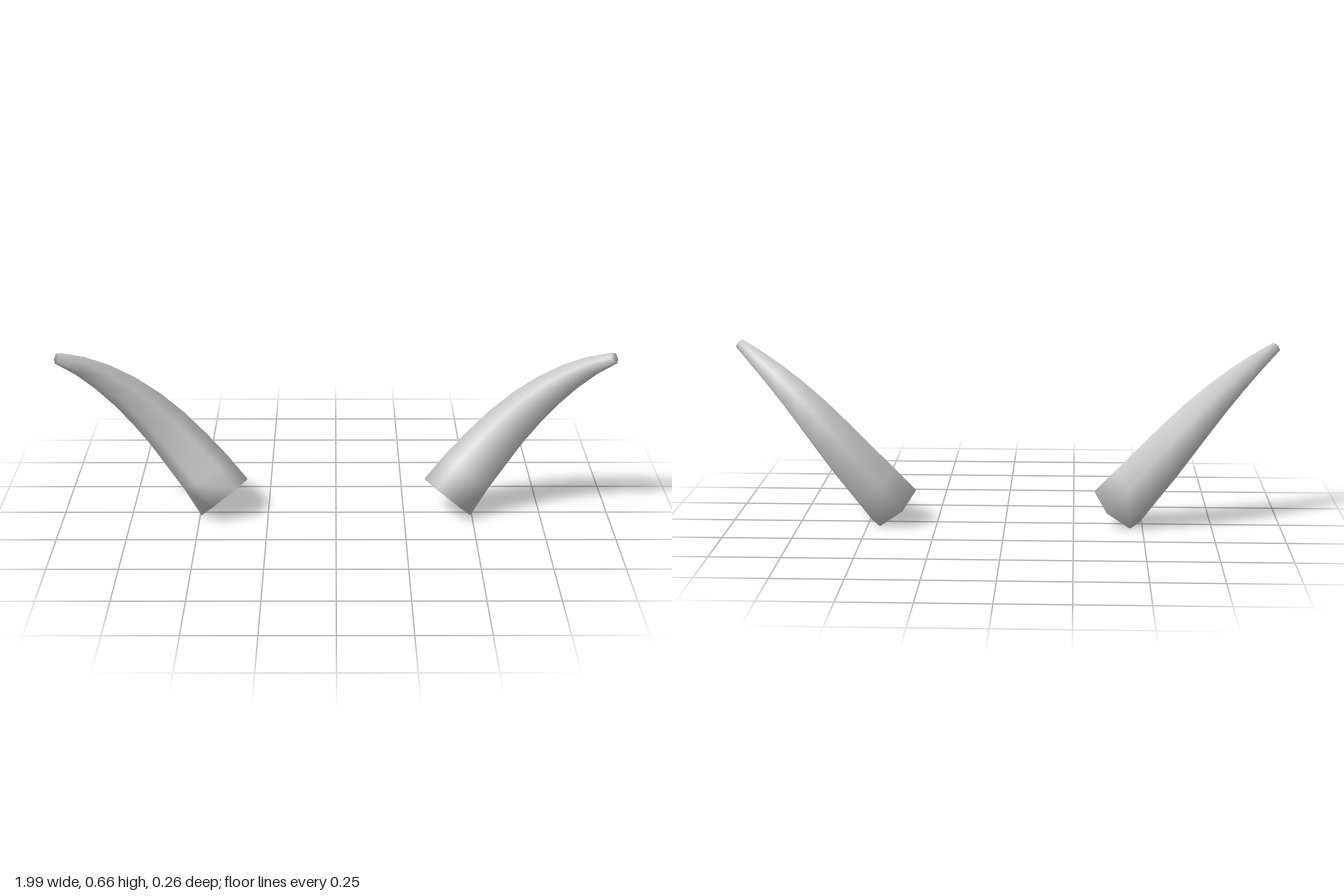
import * as THREE from 'three';

const SIDES = 6;
// Centre line of the left horn and the radius at each ring
const CENTRES = [
  [0.41, 0.067, 0.005], [0.48, 0.157, -0.022], [0.55, 0.241, -0.036],
  [0.62, 0.325, -0.04], [0.692, 0.405, -0.029], [0.765, 0.478, -0.008],
  [0.838, 0.542, 0.022], [0.91, 0.597, 0.062], [0.981, 0.643, 0.115],
].map((p) => new THREE.Vector3(...p));
const RADII = [0.108, 0.101, 0.094, 0.085, 0.075, 0.063, 0.05, 0.036, 0.021];
const FORWARD = new THREE.Vector3(0.371, 0, 0.928);
const BASE_AXIS = new THREE.Vector3(0.617, 0.747, -0.246);

// Six-sided tapered horn with closed ends and one smooth skin
function hornGeometry(side) {
  const positions = [];
  const index = [];
  const last = CENTRES.length - 1;
  const tri = (a, b, c) => (side > 0 ? index.push(a, b, c) : index.push(a, c, b));

  CENTRES.forEach((centre, i) => {
    const axis = i === 0 ? BASE_AXIS.clone() : CENTRES[Math.min(i + 1, last)].clone().sub(CENTRES[i - 1]);
    axis.normalize();
    const u = FORWARD.clone().addScaledVector(axis, -FORWARD.dot(axis)).normalize();
    const v = axis.clone().cross(u);
    for (let k = 0; k < SIDES; k++) {
      const a = (k / SIDES) * Math.PI * 2;
      const p = centre.clone()
        .addScaledVector(u, Math.cos(a) * RADII[i])
        .addScaledVector(v, Math.sin(a) * RADII[i]);
      positions.push(p.x * side, p.y, p.z);
    }
  });

  // Side faces
  for (let i = 0; i < last; i++) {
    for (let k = 0; k < SIDES; k++) {
      const a = i * SIDES + k;
      const b = i * SIDES + ((k + 1) % SIDES);
      tri(a, b, b + SIDES);
      tri(a, b + SIDES, a + SIDES);
    }
  }
  // Root and tip caps
  const tip = last * SIDES;
  for (let k = 1; k < SIDES - 1; k++) {
    tri(0, k + 1, k);
    tri(tip, tip + k, tip + k + 1);
  }

  const geometry = new THREE.BufferGeometry();
  geometry.setAttribute('position', new THREE.Float32BufferAttribute(positions, 3));
  geometry.setIndex(index);
  geometry.computeVertexNormals();
  return geometry;
}

export function createModel() {
  const model = new THREE.Group();
  model.name = 'hornPair';
  const hornGrey = new THREE.MeshStandardMaterial({ color: 0xcccccc });
  hornGrey.name = 'hornGrey';

  for (const [name, side] of [['leftHorn', 1], ['rightHorn', -1]]) {
    const horn = new THREE.Mesh(hornGeometry(side), hornGrey);
    horn.name = name;
    model.add(horn);
  }
  return model;
}
